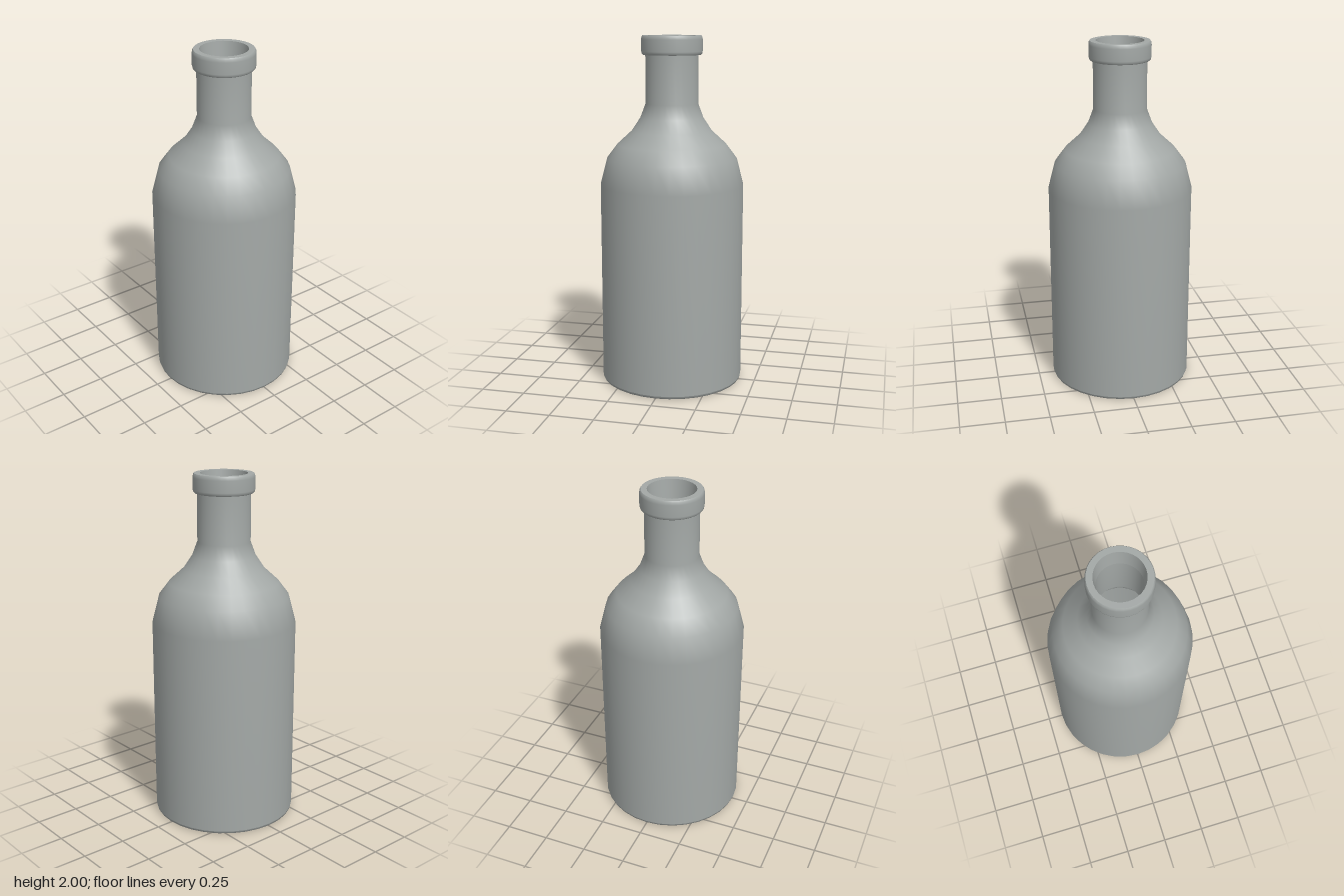
import * as THREE from 'three';

const SEGMENTS = 32;

export function createModel() {
  const bottle = new THREE.Group();
  bottle.name = 'bottle';

  const glaze = new THREE.MeshStandardMaterial({ color: 0xa3a8a6 });
  glaze.name = 'grey glaze';

  // Each profile runs in the same direction, so outer and inner faces point outward.
  // Separate profiles keep a sharp edge where they meet.
  const turn = (name, points) => {
    const profile = points.map(([r, y]) => new THREE.Vector2(r, y));
    const mesh = new THREE.Mesh(new THREE.LatheGeometry(profile, SEGMENTS), glaze);
    mesh.name = name;
    bottle.add(mesh);
  };

  turn('base', [[0, 0], [0.398, 0]]);
  turn('baseEdge', [[0.398, 0], [0.407, 0.005], [0.411, 0.018]]);

  // Straight wall, rounded shoulder and neck
  turn('body', [
    [0.411, 0.018], [0.411, 1.16], [0.372, 1.31], [0.312, 1.39],
    [0.23, 1.465], [0.18, 1.54], [0.15, 1.62], [0.15, 1.893],
  ]);

  // Rolled lip around the mouth
  turn('lipUnderside', [[0.15, 1.893], [0.164, 1.893]]);
  turn('lip', [
    [0.164, 1.893], [0.17, 1.899], [0.173, 1.912],
    [0.173, 1.978], [0.171, 1.992], [0.166, 2],
  ]);
  turn('rim', [[0.166, 2], [0.133, 2]]);
  turn('mouth', [[0.133, 2], [0.122, 1.893]]);

  // Hollow inside
  turn('innerWall', [
    [0.122, 1.893], [0.122, 1.61], [0.155, 1.52], [0.21, 1.44],
    [0.29, 1.365], [0.345, 1.295], [0.38, 1.155], [0.38, 0.03],
  ]);
  turn('innerFloor', [[0.38, 0.03], [0, 0.03]]);

  return bottle;
}
